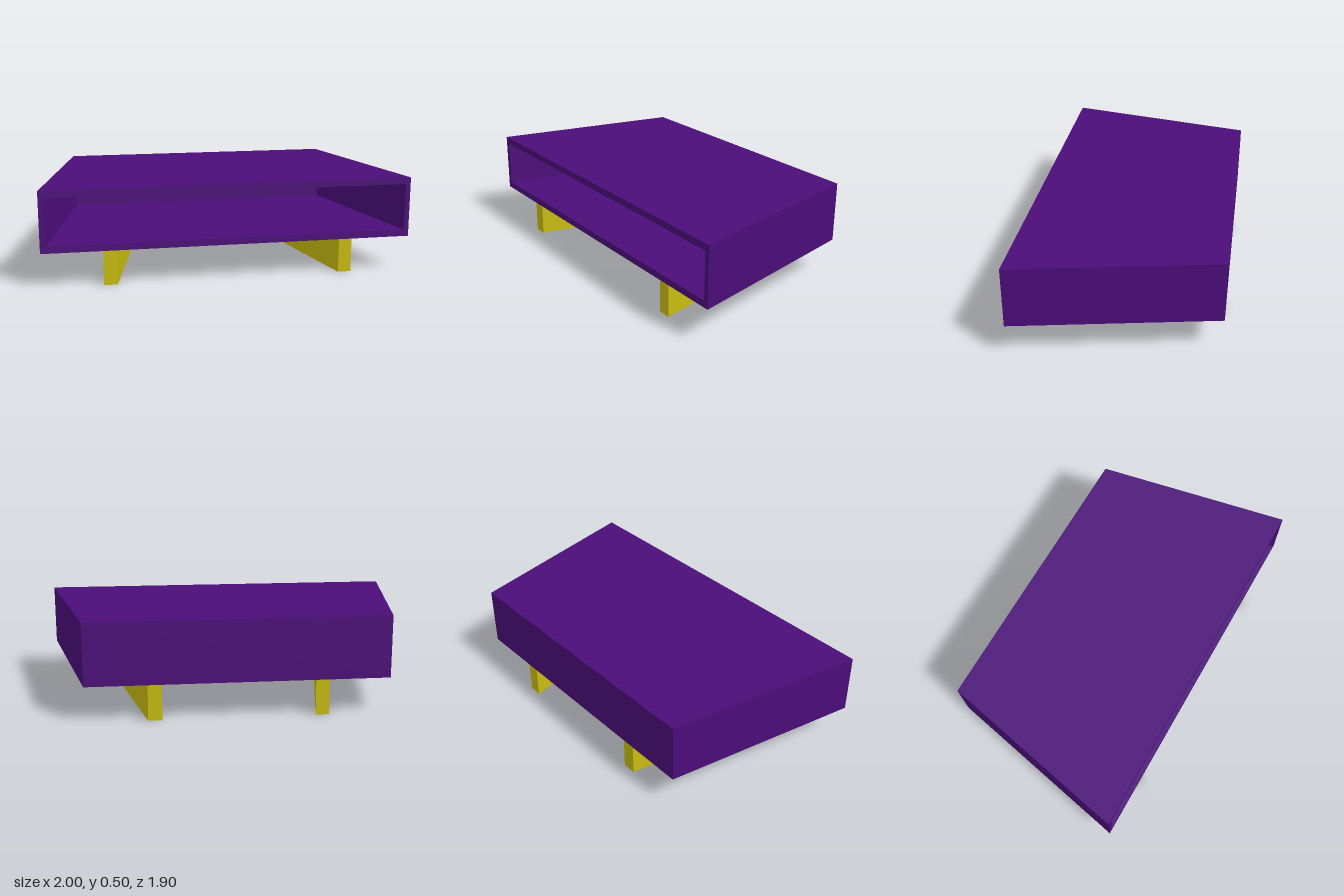
import * as THREE from 'three';

const purple = new THREE.MeshStandardMaterial({ color: 0x4b0d78 });
const yellow = new THREE.MeshStandardMaterial({ color: 0xc8bc10 });

// Skins rectangular sections [z, halfWidth, yBottom, yTop] in order, closing both ends.
function loftRects(sections) {
  const rings = sections.map(([z, w, y0, y1]) => [[-w, y0, z], [w, y0, z], [w, y1, z], [-w, y1, z]]);
  const pos = [];
  const quad = (a, b, c, d) => [a, b, c, a, c, d].forEach((p) => pos.push(...p));
  for (let i = 0; i < rings.length - 1; i++) {
    for (let k = 0; k < 4; k++) {
      const n = (k + 1) % 4;
      quad(rings[i][k], rings[i][n], rings[i + 1][n], rings[i + 1][k]);
    }
  }
  const first = rings[0], last = rings[rings.length - 1];
  quad(first[0], first[3], first[2], first[1]);
  quad(last[0], last[1], last[2], last[3]);
  const geo = new THREE.BufferGeometry();
  geo.setAttribute('position', new THREE.Float32BufferAttribute(pos, 3));
  geo.computeVertexNormals();
  return geo;
}

// Slanted runner, a parallelogram in plan; side is -1 or 1.
function runner(side) {
  const pts = [[0.66, 0.5], [0.59, 0.5], [0.386, -0.505], [0.456, -0.505]];
  const shape = new THREE.Shape(pts.map(([x, z]) => new THREE.Vector2(side * x, -z)));
  const geo = new THREE.ExtrudeGeometry(shape, { depth: 0.185, bevelEnabled: false });
  geo.rotateX(-Math.PI / 2);
  const mesh = new THREE.Mesh(geo, yellow);
  mesh.name = side > 0 ? 'leftRunner' : 'rightRunner';
  return mesh;
}

export function createModel() {
  const model = new THREE.Group();
  model.name = 'openFrontedCabinet';

  // Everything is laid out square, then turned as a whole
  const cabinet = new THREE.Group();
  cabinet.name = 'cabinet';
  cabinet.rotation.y = -0.683;
  cabinet.position.set(0.08, 0, -0.07);
  model.add(cabinet);

  // Tapered case: outer back, outer front, opening rim, cavity back
  const shell = new THREE.Mesh(loftRects([
    [-0.515, 0.766, 0.185, 0.505],
    [0.515, 0.973, 0.185, 0.505],
    [0.515, 0.947, 0.22, 0.47],
    [-0.43, 0.757, 0.22, 0.47],
  ]), purple);
  shell.name = 'caseShell';
  cabinet.add(shell);

  // Runners follow the slanted sides
  for (const side of [-1, 1]) cabinet.add(runner(side));
  return model;
}
